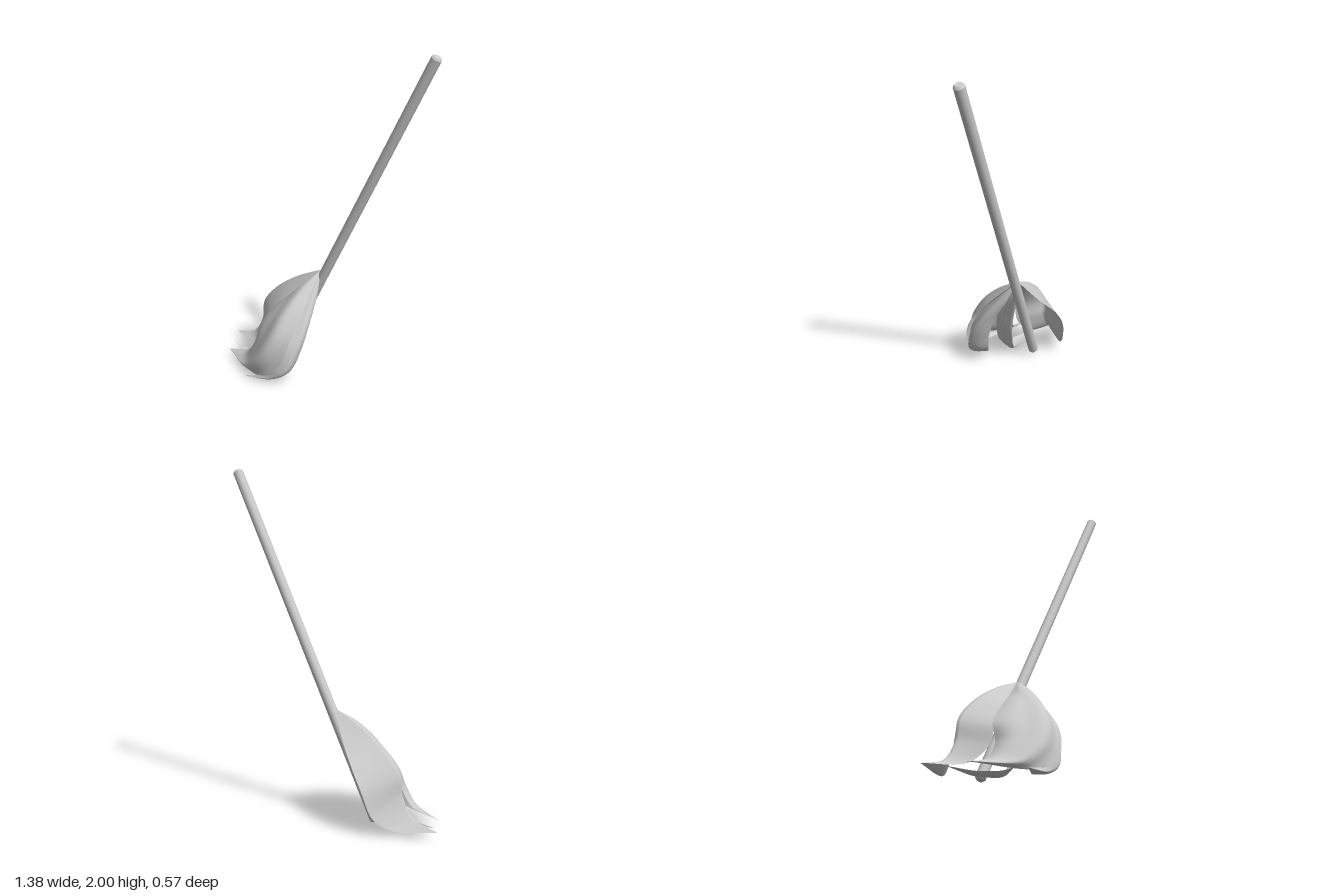
import * as THREE from 'three';
import { toCreasedNormals } from 'three/addons/utils/BufferGeometryUtils.js';

const material = new THREE.MeshStandardMaterial({ color: 0xcccccc });
const clothMaterial = new THREE.MeshStandardMaterial({ color: 0xcccccc, side: THREE.DoubleSide });

const APEX = [-0.035, 0.64, -0.105];

// A curved leaf: two edges and a ridge run from the common apex to one tip.
// sharpness pulls the rounded cross-section towards a pinched one.
function strand(name, { tip, edgeA, ridge, edgeB, ripple = 0.006, sharpness = 0 }) {
  const curves = [edgeA, ridge, edgeB].map(points => new THREE.CatmullRomCurve3(
    [APEX, ...points, tip].map(p => new THREE.Vector3(...p)), false, 'centripetal'));
  const along = 48, across = 24, mix = THREE.MathUtils.lerp;
  const geometry = new THREE.PlaneGeometry(1, 1, across, along);
  const position = geometry.attributes.position;
  for (let j = 0; j <= along; j++) {
    const t = j / along;
    const [a, m, b] = curves.map(c => c.getPoint(t));
    for (let i = 0; i <= across; i++) {
      const s = i / across;
      const p = new THREE.Vector3()
        .addScaledVector(a, mix((1 - s) * (1 - 2 * s), Math.max(0, 1 - 2 * s), sharpness))
        .addScaledVector(m, mix(4 * s * (1 - s), 1 - Math.abs(1 - 2 * s), sharpness))
        .addScaledVector(b, mix(s * (2 * s - 1), Math.max(0, 2 * s - 1), sharpness));
      // shallow lengthwise folds, fading out at both ends
      const fold = ripple * Math.sin(Math.PI * t) * Math.sin(Math.PI * 4 * s);
      const out = new THREE.Vector3(p.x + 0.17, 0, p.z + 0.03).normalize();
      p.addScaledVector(out, fold);
      position.setXYZ(j * (across + 1) + i, p.x, p.y, p.z);
    }
  }
  geometry.computeVertexNormals();
  const mesh = new THREE.Mesh(geometry, clothMaterial);
  mesh.name = name;
  return mesh;
}

export function createModel() {
  const group = new THREE.Group();
  group.name = 'broom';

  // Round pole with bevelled ends, leaning towards +x
  const bottom = new THREE.Vector3(-0.3, 0.03, -0.103);
  const top = new THREE.Vector3(0.664, 1.987, -0.103);
  const axis = top.clone().sub(bottom);
  const length = axis.length();
  const profile = [[0, 0], [0.02, 0], [0.03, 0.012], [0.03, length - 0.012], [0.02, length], [0, length]]
    .map(p => new THREE.Vector2(...p));
  const handle = new THREE.Mesh(toCreasedNormals(new THREE.LatheGeometry(profile, 12), 0.6), material);
  handle.name = 'handle';
  handle.position.copy(bottom);
  handle.quaternion.setFromUnitVectors(new THREE.Vector3(0, 1, 0), axis.normalize());
  group.add(handle);

  const brush = new THREE.Group();
  brush.name = 'brush';
  group.add(brush);

  // Broad strand with a pinched ridge, covering the back and the -x side
  brush.add(strand('backStrand', {
    tip: [-0.69, 0.04, -0.105],
    edgeA: [[-0.13, 0.5, -0.19], [-0.25, 0.36, -0.27], [-0.32, 0.25, -0.29], [-0.38, 0.1, -0.265], [-0.47, 0.035, -0.205]],
    ridge: [[-0.2, 0.56, -0.105], [-0.36, 0.445, -0.105], [-0.46, 0.32, -0.105], [-0.475, 0.2, -0.105], [-0.54, 0.09, -0.105]],
    edgeB: [[-0.15, 0.52, -0.045], [-0.26, 0.4, 0.015], [-0.34, 0.28, 0.045], [-0.37, 0.17, 0.04], [-0.46, 0.07, -0.015]],
    ripple: 0, sharpness: 1.1,
  }));

  // Broad strand covering the front, tucked under the back one
  brush.add(strand('frontStrand', {
    tip: [-0.59, 0.03, 0.1],
    edgeA: [[-0.16, 0.51, -0.07], [-0.27, 0.4, 0], [-0.355, 0.29, 0.045], [-0.365, 0.18, 0.075], [-0.43, 0.08, 0.09]],
    ridge: [[-0.1, 0.55, 0.025], [-0.16, 0.42, 0.15], [-0.21, 0.28, 0.225], [-0.28, 0.15, 0.25], [-0.38, 0.055, 0.22]],
    edgeB: [[-0.035, 0.54, 0], [-0.03, 0.42, 0.12], [-0.045, 0.28, 0.225], [-0.095, 0.13, 0.268], [-0.24, 0.03, 0.262]],
    ripple: 0.009,
  }));

  // Strand on the +x side, running under the front one
  brush.add(strand('sideStrand', {
    tip: [-0.34, 0.012, 0.285],
    edgeA: [[-0.02, 0.5, -0.04], [-0.025, 0.36, 0.04], [-0.045, 0.22, 0.09], [-0.1, 0.08, 0.12], [-0.2, 0.025, 0.18]],
    ridge: [[-0.012, 0.5, 0.005], [0, 0.35, 0.11], [-0.012, 0.22, 0.18], [-0.06, 0.085, 0.225], [-0.16, 0.025, 0.252]],
    edgeB: [[-0.055, 0.5, 0.03], [-0.065, 0.36, 0.15], [-0.09, 0.24, 0.23], [-0.135, 0.11, 0.26], [-0.22, 0.045, 0.264]],
    ripple: 0.003,
  }));

  // Inner strand filling the middle
  brush.add(strand('innerStrand', {
    tip: [-0.62, 0.02, 0],
    edgeA: [[-0.06, 0.5, -0.09], [-0.1, 0.35, -0.05], [-0.15, 0.2, -0.02], [-0.23, 0.06, 0], [-0.4, 0.005, 0.005]],
    ridge: [[-0.06, 0.5, -0.05], [-0.11, 0.35, 0.01], [-0.16, 0.2, 0.04], [-0.25, 0.04, 0.05], [-0.42, 0.002, 0.045]],
    edgeB: [[-0.08, 0.5, -0.02], [-0.14, 0.35, 0.07], [-0.2, 0.2, 0.11], [-0.28, 0.06, 0.12], [-0.44, 0.015, 0.07]],
  }));

  return group;
}
